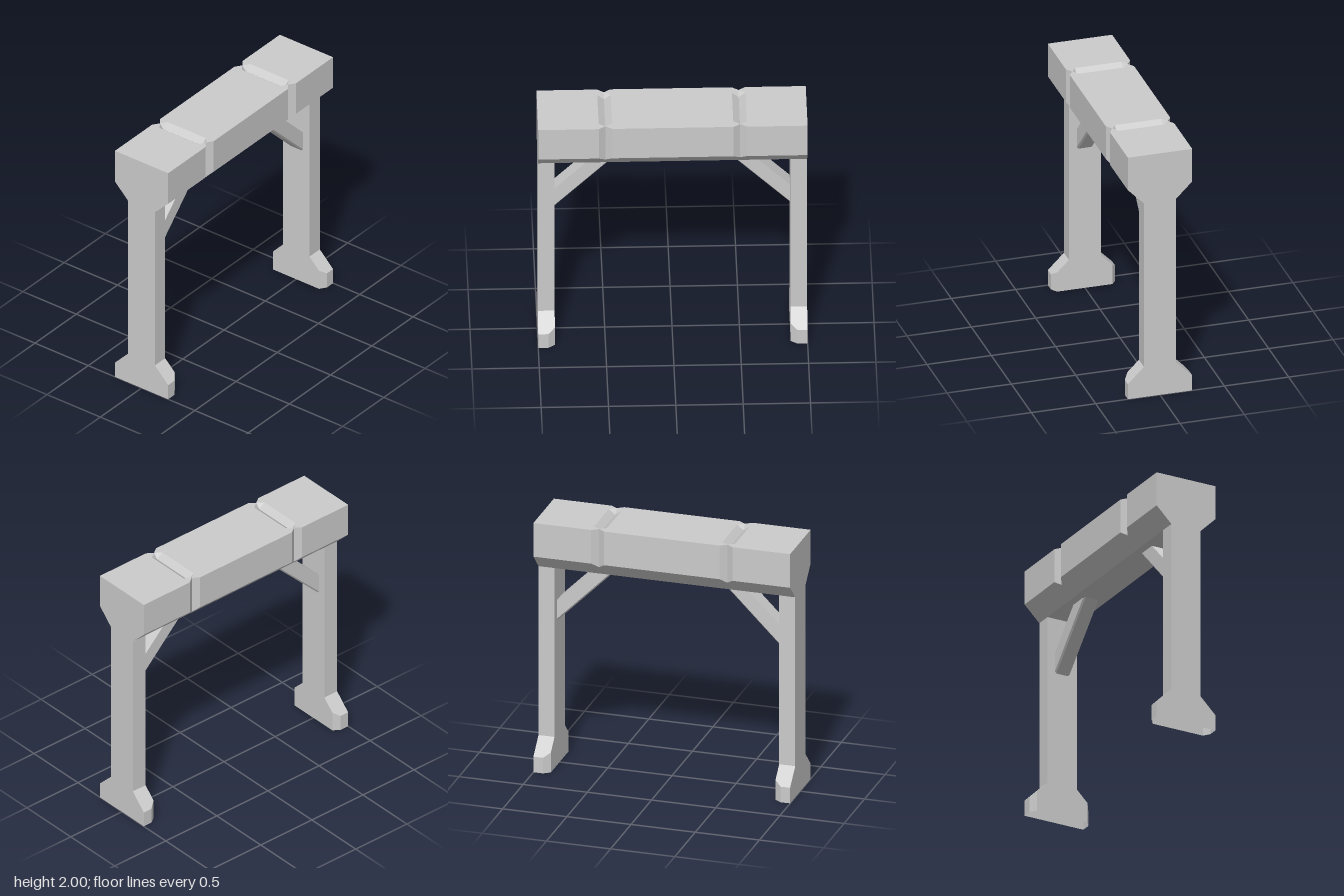
import * as THREE from 'three';

const material = new THREE.MeshStandardMaterial({ color: 0xcccccc, flatShading: true, side: THREE.DoubleSide });

// Skin a row of cross-sections; each ring is a list of [x, y, z] points
function loft(rings, { closed = true, caps = false } = {}) {
  const pos = [];
  const tri = (a, b, c) => pos.push(...a, ...b, ...c);
  const n = rings[0].length;
  for (let i = 0; i < rings.length - 1; i++) {
    for (let j = 0; j < (closed ? n : n - 1); j++) {
      const k = (j + 1) % n;
      const a = rings[i][j], b = rings[i][k], c = rings[i + 1][k], d = rings[i + 1][j];
      tri(a, b, c);
      tri(a, c, d);
    }
  }
  if (caps) {
    const first = rings[0], last = rings[rings.length - 1];
    for (let j = 1; j < n - 1; j++) {
      tri(first[0], first[j + 1], first[j]);
      tri(last[0], last[j], last[j + 1]);
    }
  }
  const geometry = new THREE.BufferGeometry();
  geometry.setAttribute('position', new THREE.Float32BufferAttribute(pos, 3));
  geometry.computeVertexNormals();
  return geometry;
}

function part(name, geometry) {
  const mesh = new THREE.Mesh(geometry, material);
  mesh.name = name;
  return mesh;
}

const TOP = 2, BEAM_BOTTOM = 1.605;
const WIDE = 0.25, NARROW = 0.125, NOTCH = 0.215;
const LEG_INNER = 0.875, NOTCH_X = 0.5, NOTCH_HALF = 0.05;

// Beam sides and underside, pinched inward at the two notches
function beamSides() {
  const section = (x, w) => {
    const ySlope = BEAM_BOTTOM + w - NARROW;
    return [
      [x, TOP, w], [x, ySlope, w], [x, BEAM_BOTTOM, NARROW],
      [x, BEAM_BOTTOM, -NARROW], [x, ySlope, -w], [x, TOP, -w],
    ];
  };
  const rings = [section(-1, WIDE)];
  for (const c of [-NOTCH_X, NOTCH_X]) {
    rings.push(section(c - NOTCH_HALF, WIDE), section(c, NOTCH), section(c + NOTCH_HALF, WIDE));
  }
  rings.push(section(1, WIDE));
  return loft(rings, { closed: false, caps: true });
}

// Beam top with notched edges and a pointed opening for each groove
function beamTop() {
  const edge = [[-1, WIDE]];
  for (const c of [-NOTCH_X, NOTCH_X]) {
    edge.push([c - NOTCH_HALF, WIDE], [c, NOTCH], [c + NOTCH_HALF, WIDE]);
  }
  edge.push([1, WIDE]);
  const outline = [...edge, ...edge.map(([x, z]) => [x, -z]).reverse()];
  const toPoints = (list) => list.map(([x, y]) => new THREE.Vector2(x, y));
  const shape = new THREE.Shape(toPoints(outline));
  const tip = NOTCH - 0.001;
  for (const c of [-NOTCH_X, NOTCH_X]) {
    const l = c - NOTCH_HALF, r = c + NOTCH_HALF;
    shape.holes.push(new THREE.Path(toPoints([
      [l, -0.18], [c, -tip], [r, -0.18], [r, 0.18], [c, tip], [l, 0.18],
    ])));
  }
  return new THREE.ShapeGeometry(shape).rotateX(-Math.PI / 2).translate(0, TOP, 0);
}

// V-shaped groove across the top, tapering to a point at both ends
function topGroove() {
  const section = (z, half, depth) => [
    [NOTCH_X + half, TOP, z], [NOTCH_X, TOP - depth, z], [NOTCH_X - half, TOP, z],
  ];
  return loft([
    section(-NOTCH, 0, 0), section(-0.18, NOTCH_HALF, 0.04),
    section(0.18, NOTCH_HALF, 0.04), section(NOTCH, 0, 0),
  ], { closed: false });
}

// Leg with a flared foot, chamfered on its inner corners and open below
function leg() {
  const section = (y, w) => {
    const xc = Math.max(LEG_INNER, 0.925 - 0.05 * (WIDE - w) / (WIDE - NOTCH));
    const wi = Math.min(w, NOTCH);
    return [
      [1, y, w], [1, y, -w], [xc, y, -w],
      [LEG_INNER, y, -wi], [LEG_INNER, y, wi], [xc, y, w],
    ];
  };
  return loft([
    section(0, WIDE), section(0.125, WIDE), section(0.16, NOTCH),
    section(0.25, NARROW), section(BEAM_BOTTOM, NARROW),
  ]);
}

// Diagonal brace at 45 degrees with bevelled lower edges
function brace() {
  const profile = [
    [1.175, 0.0625], [1.325, 0.0625], [1.325, -0.0625],
    [1.175, -0.0625], [1.16, -0.05], [1.16, 0.05],
  ];
  return loft([
    profile.map(([y, z]) => [LEG_INNER, y, z]),
    profile.map(([y, z]) => [LEG_INNER - (BEAM_BOTTOM - y), BEAM_BOTTOM, z]),
  ]);
}

export function createModel() {
  const model = new THREE.Group();
  model.name = 'gateway';

  const beam = new THREE.Group();
  beam.name = 'beam';
  beam.add(part('beamSides', beamSides()), part('beamTop', beamTop()));
  model.add(beam);

  // Left and right halves mirror each other
  for (const [side, sign] of [['left', 1], ['right', -1]]) {
    const half = new THREE.Group();
    half.name = `${side}Support`;
    half.add(
      part(`${side}Leg`, leg()),
      part(`${side}Brace`, brace()),
      part(`${side}TopGroove`, topGroove()),
    );
    half.scale.x = sign;
    model.add(half);
  }
  return model;
}
